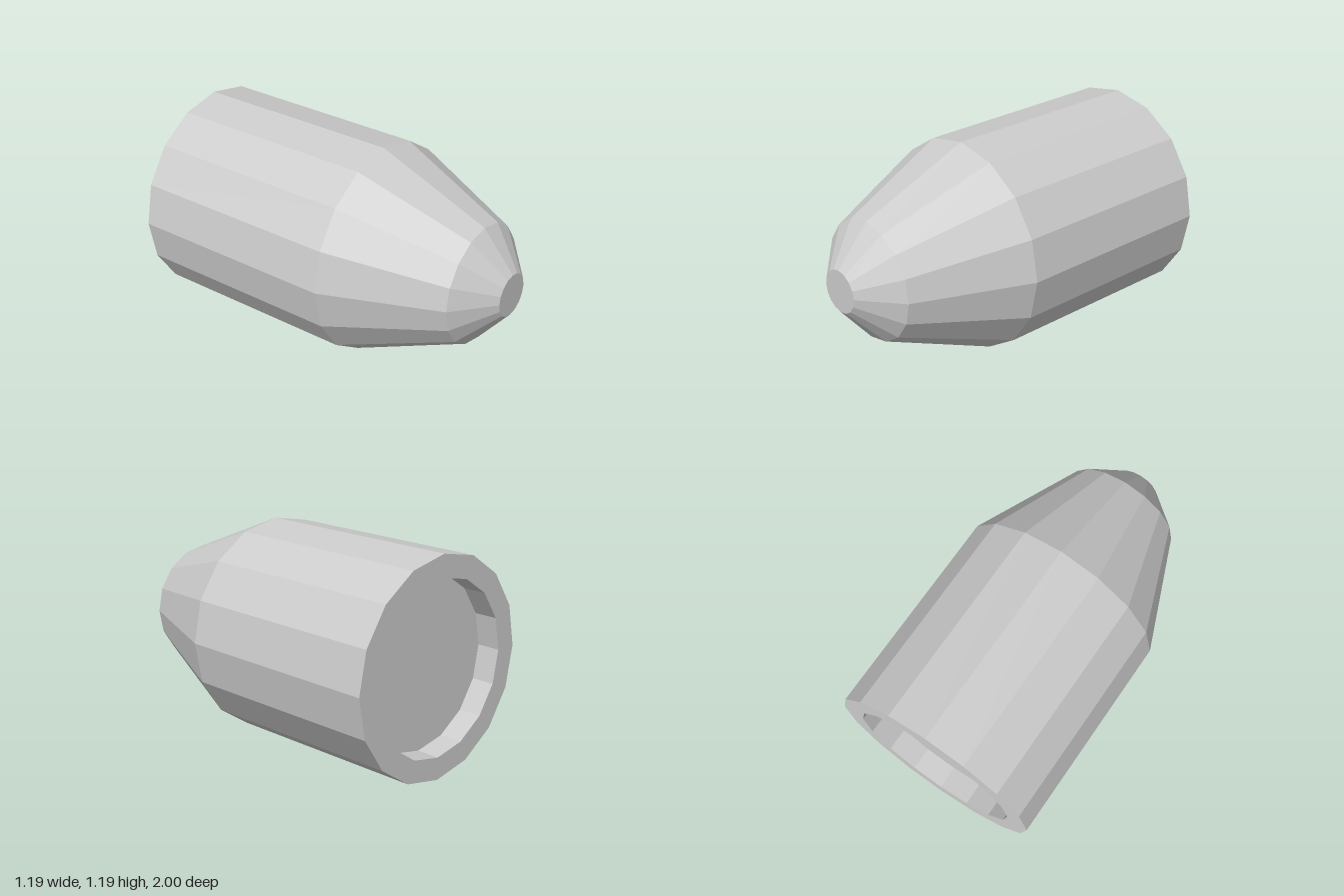
import * as THREE from 'three';

const SIDES = 16;
const RADIUS = 0.593;

export function createModel() {
  const model = new THREE.Group();
  model.name = 'projectile';
  const material = new THREE.MeshStandardMaterial({ color: 0xcccccc, flatShading: true });

  // Faceted solid of revolution along z; profile points are [radius, z], back to front
  function turned(name, profile) {
    const points = profile.map(([r, z]) => new THREE.Vector2(r, z));
    const geometry = new THREE.LatheGeometry(points, SIDES).toNonIndexed();
    geometry.rotateX(Math.PI / 2);
    geometry.translate(0, RADIUS, 0);
    geometry.computeVertexNormals();
    const mesh = new THREE.Mesh(geometry, material);
    mesh.name = name;
    model.add(mesh);
  }

  // Shallow recess in the back end: floor and inner wall
  turned('baseRecess', [[0, -0.87], [0.47, -0.87], [0.47, -1]]);
  // Flat back rim and straight cylindrical wall
  turned('body', [[0.47, -1], [RADIUS, -1], [RADIUS, 0.19]]);
  // Two-step tapered nose
  turned('nose', [[RADIUS, 0.19], [0.333, 0.82], [0.119, 1]]);
  // Blunt flat tip
  turned('tip', [[0.119, 1], [0, 1]]);

  return model;
}
